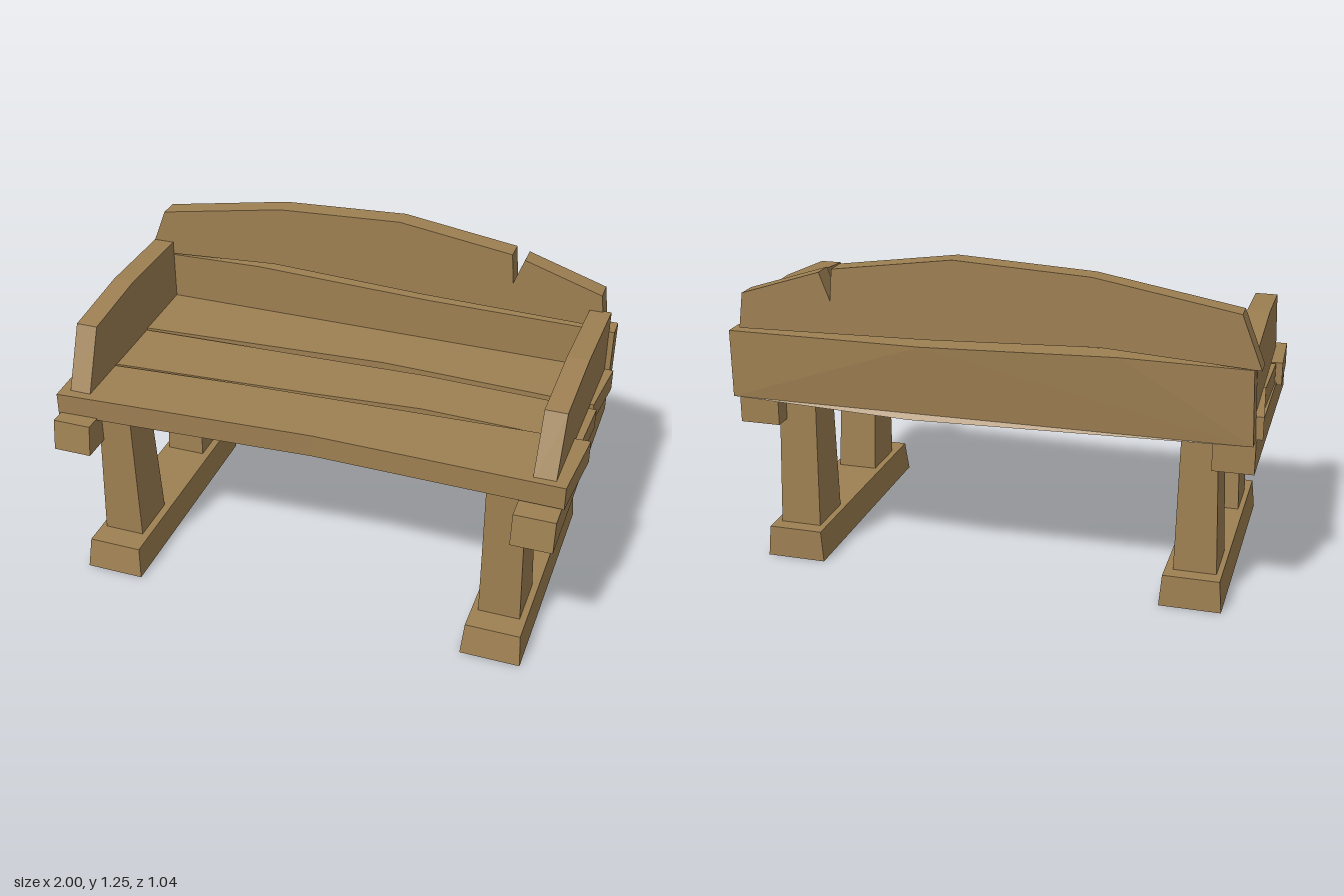
import * as THREE from 'three';

const wood = new THREE.MeshStandardMaterial({ color: 0x9e8052 });
wood.name = 'wood';
wood.flatShading = true;

// Extrude an outline of [a, b] points by a depth
function board(points, depth) {
  const shape = new THREE.Shape(points.map(([a, b]) => new THREE.Vector2(a, b)));
  return new THREE.ExtrudeGeometry(shape, { depth, bevelEnabled: false });
}

// Move every vertex by a rule, then refresh the flat normals
function warp(geometry, rule) {
  const p = geometry.attributes.position;
  const v = new THREE.Vector3();
  for (let i = 0; i < p.count; i++) {
    rule(v.fromBufferAttribute(p, i));
    p.setXYZ(i, v.x, v.y, v.z);
  }
  geometry.computeVertexNormals();
  return geometry;
}

// Tapered block: bottom and top rectangles given as [x0, x1, z0, z1]
function block(y0, y1, bottom, top) {
  return warp(new THREE.BoxGeometry(1, 1, 1).toNonIndexed(), (v) => {
    const r = v.y > 0 ? top : bottom;
    v.set(v.x > 0 ? r[1] : r[0], v.y > 0 ? y1 : y0, v.z > 0 ? r[3] : r[2]);
  });
}

export function createModel() {
  const bench = new THREE.Group();
  bench.name = 'bench';
  const add = (name, geometry) => {
    const mesh = new THREE.Mesh(geometry, wood);
    mesh.name = name;
    bench.add(mesh);
  };

  // Feet, legs and seat bearers; x ranges differ slightly on each side
  const sides = [
    { name: 'right', foot: [-0.89, -0.66], footTop: [-0.88, -0.67], leg: [-0.86, -0.70], legTop: [-0.84, -0.71], beam: [-0.98, -0.83] },
    { name: 'left', foot: [0.655, 0.885], footTop: [0.665, 0.875], leg: [0.69, 0.85], legTop: [0.69, 0.835], beam: [0.81, 0.965] },
  ];
  for (const s of sides) {
    add(s.name + 'Foot', block(0, 0.122, [...s.foot, -0.46, 0.52], [...s.footTop, -0.457, 0.50]));
    add(s.name + 'FrontLeg', block(0.12, 0.672, [...s.leg, 0.195, 0.403], [...s.legTop, 0.233, 0.403]));
    add(s.name + 'BackLeg', block(0.12, 0.672, [...s.leg, -0.40, -0.193], [...s.legTop, -0.387, -0.222]));
    add(s.name + 'Bearer', block(0.552, 0.673, [...s.beam, -0.46, 0.52], [...s.beam, -0.46, 0.503]));
  }

  // Crooked seat planks, outlined as [x, z]
  const planks = [
    { name: 'frontSeatPlank', h: 0.09, tilt: 0.01, pts: [[-1, 0.19], [-0.35, 0.155], [0.3, 0.135], [1, 0.115], [0.975, 0.43], [0.03, 0.403], [-0.99, 0.445]] },
    { name: 'middleSeatPlank', h: 0.08, tilt: 0, pts: [[-0.97, -0.11], [0.3, -0.15], [0.975, -0.128], [0.965, 0.103], [0.35, 0.083], [-0.1, 0.12], [-0.975, 0.177]] },
    { name: 'backSeatPlank', h: 0.085, tilt: 0, pts: [[-1, -0.43], [0.985, -0.42], [0.96, -0.15], [0.12, -0.18], [-0.97, -0.115]] },
  ];
  for (const { name, h, tilt, pts } of planks) {
    const g = board(pts.map(([x, z]) => [x, -z]), h).rotateX(-Math.PI / 2).translate(0, 0.673, 0);
    add(name, warp(g, (v) => { v.y += tilt * v.x; }));
  }

  // Armrest panels, outlined as [z, y] and slightly splayed
  const armOutline = [[0.405, 0.755], [0.30, 0.992], [-0.03, 1.018], [-0.43, 1.006], [-0.43, 0.75]];
  const arm = (x1, splay) => warp(
    board(armOutline, 0.083).rotateY(-Math.PI / 2).translate(x1, 0, 0),
    (v) => { v.x += splay * v.z; },
  );
  add('rightArmrest', arm(-0.876, 0.02));
  add('leftArmrest', arm(0.942, -0.02));

  // Lower backrest board, bowed at the rear
  const lower = board([
    [-0.975, 0.672], [0.27, 0.65], [0.97, 0.668], [0.972, 0.926],
    [0.22, 0.932], [-0.5, 0.958], [-0.965, 0.948],
  ], 0.08).translate(0, 0, -0.50);
  add('lowerBackrest', warp(lower, (v) => {
    if (v.z < -0.46 && Math.abs(v.x) < 0.6) v.z -= 0.018;
  }));

  // Upper backrest board with a split in its curved top
  add('upperBackrest', board([
    [-0.99, 0.948], [-0.915, 1.14], [-0.4, 1.23], [0.1, 1.255], [0.553, 1.19],
    [0.563, 1.07], [0.603, 1.175], [0.91, 1.075], [0.928, 0.94],
    [0.2, 0.955], [-0.43, 0.982],
  ], 0.08).translate(0, 0, -0.50));

  return bench;
}
